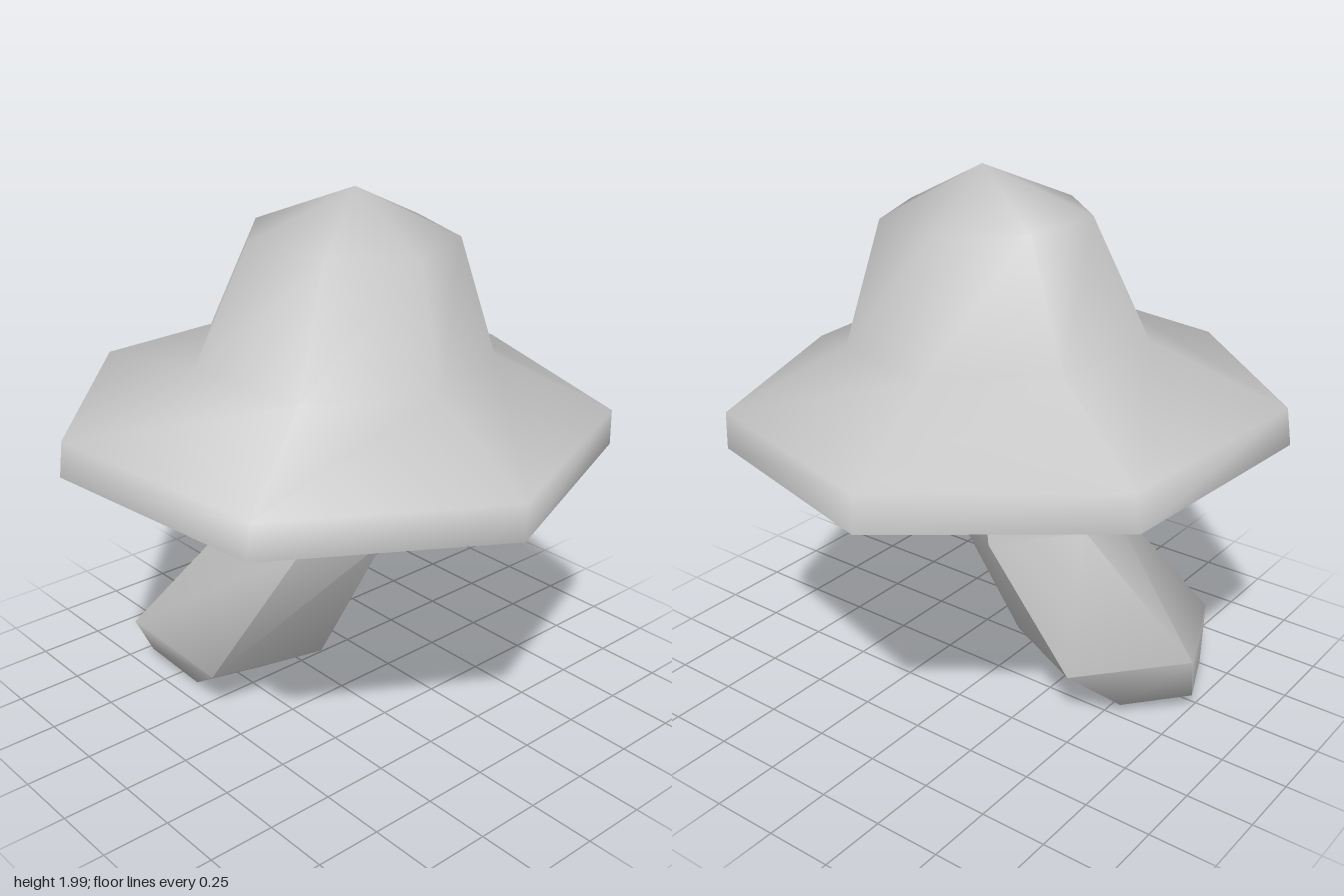
import * as THREE from 'three';
import { mergeVertices, toCreasedNormals } from 'three/addons/utils/BufferGeometryUtils.js';

// Tilted regular polygon: centre, radius, start angle (degrees), y slope along x and z
function ring(sides, start, { x, y, z, r, sx = 0, sz = 0 }) {
  return Array.from({ length: sides }, (_, k) => {
    const a = THREE.MathUtils.degToRad(start) + (k / sides) * Math.PI * 2;
    const dx = Math.cos(a) * r, dz = Math.sin(a) * r;
    return new THREE.Vector3(x + dx, y + sx * dx + sz * dz, z + dz);
  });
}

function geometryFrom(points) {
  return new THREE.BufferGeometry().setFromPoints(points);
}

// Skin rings listed from bottom to top, with an optional tip
function loft(rings, tip) {
  const out = [];
  const n = rings[0].length;
  for (let i = 0; i < rings.length - 1; i++) {
    const lo = rings[i], hi = rings[i + 1];
    for (let k = 0; k < n; k++) {
      const j = (k + 1) % n;
      out.push(lo[k], hi[k], lo[j], lo[j], hi[k], hi[j]);
    }
  }
  const last = rings[rings.length - 1];
  if (tip) last.forEach((p, k) => out.push(p, tip, last[(k + 1) % n]));
  return out;
}

// Downward-facing polygon
function floorOf(points) {
  const out = [];
  for (let k = 1; k < points.length - 1; k++) out.push(points[0], points[k], points[k + 1]);
  return out;
}

export function createModel() {
  const group = new THREE.Group();
  group.name = 'mushroom';
  const grey = new THREE.MeshStandardMaterial({ color: 0xc4c4c4 });
  grey.name = 'pale grey';

  const add = (name, geometry) => {
    const mesh = new THREE.Mesh(geometry, grey);
    mesh.name = name;
    group.add(mesh);
  };

  // Seven-sided bell cap, smooth above
  const capRings = [
    { x: -0.005, y: 1.066, z: -0.04, r: 1.01 },
    { x: -0.005, y: 1.2, z: -0.03, r: 1.0 },
    { x: -0.005, y: 1.404, z: 0.003, r: 0.544 },
    { x: -0.007, y: 1.835, z: 0.056, r: 0.375 },
  ].map((s) => ring(7, 94.3, { ...s, sz: -0.035 }));
  const cap = mergeVertices(geometryFrom(loft(capRings, new THREE.Vector3(-0.01, 2, 0.08))));
  cap.computeVertexNormals();
  add('cap', cap);

  // Flat underside of the cap
  const under = geometryFrom(floorOf(capRings[0]));
  under.computeVertexNormals();
  add('capUnderside', under);

  // Five-sided bent stem with a rounded foot
  const stemRings = [
    { x: -0.25, y: 0.037, z: -0.535, r: 0.23, sz: -0.15 },
    { x: -0.215, y: 0.214, z: -0.41, r: 0.39, sz: -0.13 },
    { x: -0.055, y: 0.712, z: -0.11, r: 0.298, sx: -0.06, sz: -0.087 },
    { x: -0.03, y: 1.1, z: -0.06, r: 0.258, sz: -0.035 },
  ].map((s) => ring(5, -5, s));
  const stem = geometryFrom([...loft(stemRings), ...floorOf(stemRings[0])]);
  add('stem', toCreasedNormals(stem, 1.2));

  return group;
}
